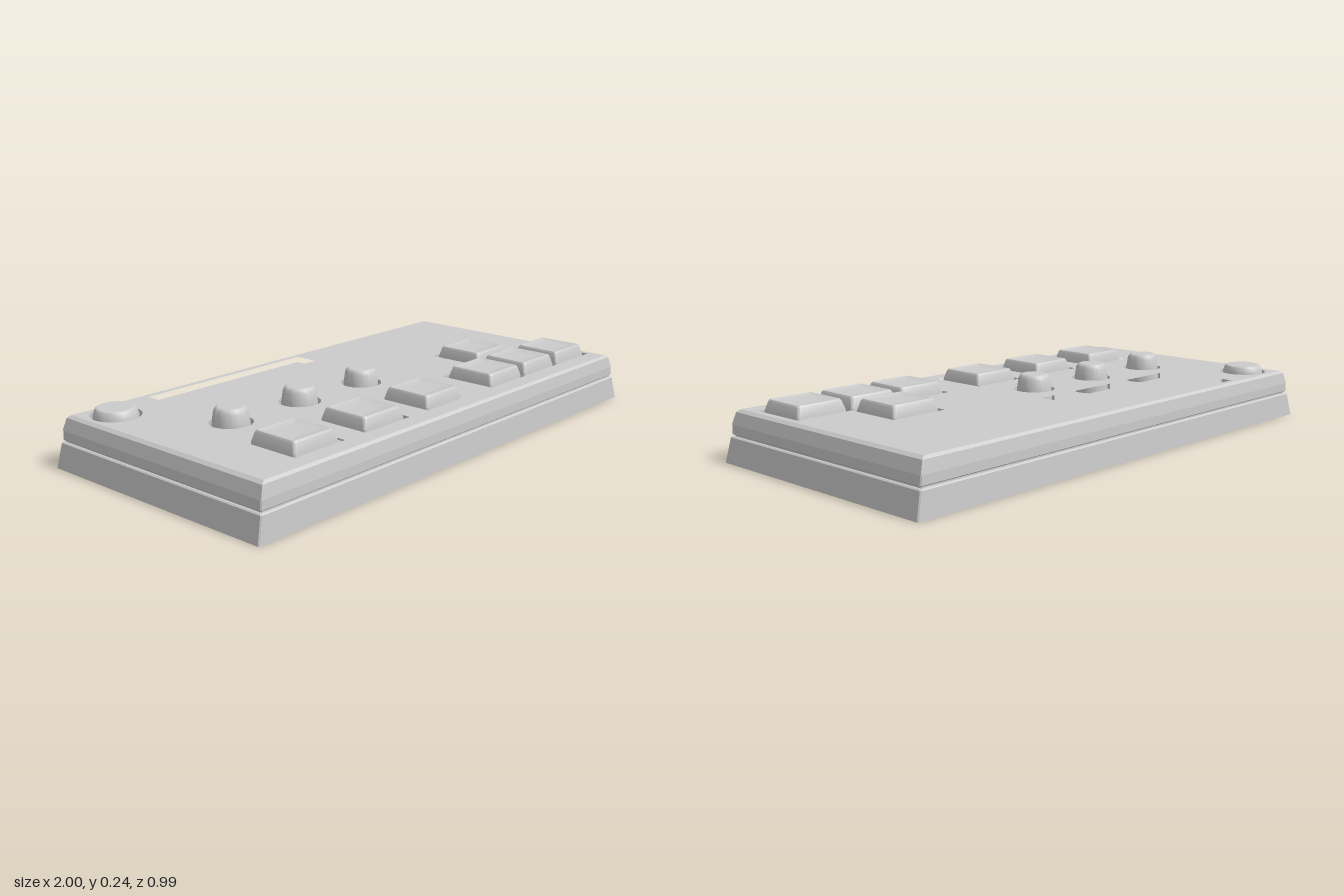
import * as THREE from 'three';
import { toCreasedNormals } from 'three/addons/utils/BufferGeometryUtils.js';

const grey = new THREE.MeshStandardMaterial({ color: 0xcccccc });

function add(group, geometry, name, x = 0, y = 0, z = 0) {
  const mesh = new THREE.Mesh(geometry, grey);
  mesh.name = name;
  mesh.position.set(x, y, z);
  group.add(mesh);
  return mesh;
}

// Closed solid from stacked rounded rectangles: [half width, half depth, y, corner radius]
function stack(sections, steps = 1) {
  const pos = [], idx = [], n = 4 * (steps + 1);
  for (const [w, d, y, r] of sections) {
    for (let q = 0; q < 4; q++) {
      const sx = q === 0 || q === 3 ? 1 : -1, sz = q < 2 ? 1 : -1;
      for (let i = 0; i <= steps; i++) {
        const a = (q + i / steps) * Math.PI / 2;
        pos.push(sx * (w - r) + r * Math.cos(a), y, sz * (d - r) + r * Math.sin(a));
      }
    }
  }
  for (let s = 0; s < sections.length - 1; s++) {
    for (let i = 0; i < n; i++) {
      const a = s * n + i, b = s * n + (i + 1) % n;
      idx.push(a, a + n, b, b, a + n, b + n);
    }
  }
  const last = sections.length - 1, bottom = pos.length / 3;
  pos.push(0, sections[0][2], 0, 0, sections[last][2], 0);
  for (let i = 0; i < n; i++) {
    const j = (i + 1) % n;
    idx.push(bottom, i, j, bottom + 1, last * n + j, last * n + i);
  }
  const g = new THREE.BufferGeometry();
  g.setAttribute('position', new THREE.Float32BufferAttribute(pos, 3));
  g.setIndex(idx);
  return toCreasedNormals(g, 0.4);
}

function lathe(points) {
  const g = new THREE.LatheGeometry(points.map(([r, y]) => new THREE.Vector2(r, y)), 40);
  return toCreasedNormals(g, 0.4);
}

// Outline on the top face; shape y is model -z
const outline = (points) => new THREE.Path(points.map(([x, z]) => new THREE.Vector2(x, -z)));
const rect = (x0, z0, x1, z1) => outline([[x0, z0], [x1, z0], [x1, z1], [x0, z1]]);

export function createModel() {
  const model = new THREE.Group();
  model.name = 'controlPad';
  const top = 0.181, columns = [-0.643, -0.322, 0], arrows = [0.373, 0.592, 0.811];
  const keyZ = 0.287, upZ = 0.069, knobZ = -0.006, half = 0.112;

  // Tapered case halves with a recessed seam
  add(model, stack([[1, 0.494, 0, 0.004], [0.98, 0.486, 0.086, 0.004], [0.975, 0.481, 0.09, 0.004]]), 'lowerCase');
  add(model, stack([[0.968, 0.474, 0.08, 0.002], [0.968, 0.474, 0.11, 0.002]]), 'seam');
  add(model, stack([[0.973, 0.479, 0.096, 0.004], [0.976, 0.482, 0.099, 0.004], [0.974, 0.481, 0.13, 0.004]]), 'upperCaseBottom');
  const rim = new THREE.Group();
  rim.name = 'upperCaseRim';
  model.add(rim);
  const edge = [[0.974, 0.481, 0.13], [0.96, 0.473, 0.172], [0.946, 0.464, top]];
  for (let k = 0; k < 2; k++) {
    const [w0, d0, y0] = edge[k], [w1, d1, y1] = edge[k + 1];
    const ring = [[1, 1], [-1, 1], [-1, -1], [1, -1]];
    const pos = [], idx = [];
    ring.forEach(([sx, sz], i) => {
      const [tx, tz] = ring[(i + 1) % 4];
      pos.push(sx * w0, y0, sz * d0, tx * w0, y0, tz * d0, tx * w1, y1, tz * d1, sx * w1, y1, sz * d1);
      const o = i * 4;
      idx.push(o, o + 2, o + 1, o, o + 3, o + 2);
    });
    const g = new THREE.BufferGeometry();
    g.setAttribute('position', new THREE.Float32BufferAttribute(pos, 3));
    g.setIndex(idx);
    g.computeVertexNormals();
    add(rim, g, k ? 'rimChamfer' : 'rimSide');
  }

  // Top plate with openings for screen, keys, knobs and power button
  const plate = new THREE.Shape(rect(-0.946, -0.464, 0.946, 0.464).getPoints());
  plate.holes.push(rect(-0.64, -0.44, 0.11, -0.145));
  for (const x of columns) {
    plate.holes.push(rect(x - half, keyZ - half, x + half, keyZ + half));
    plate.holes.push(new THREE.Path().absarc(x, -knobZ, 0.075, 0, Math.PI * 2));
  }
  plate.holes.push(new THREE.Path().absarc(-0.843, 0.358, 0.088, 0, Math.PI * 2));
  const l = arrows[0] - half, r = arrows[2] + half, m = arrows[1], zt = keyZ - half, zb = keyZ + half;
  plate.holes.push(outline([[l, zb], [r, zb], [r, zt], [m + half, zt],
    [m + half, upZ - half], [m - half, upZ - half], [m - half, zt], [l, zt]]));
  const plateGeometry = new THREE.ExtrudeGeometry(plate, { depth: top - 0.13, bevelEnabled: false, curveSegments: 40 });
  plateGeometry.rotateX(-Math.PI / 2);
  add(model, plateGeometry, 'topPlate', 0, 0.13, 0);
  add(model, new THREE.BoxGeometry(0.75, 0.03, 0.295), 'screen', -0.265, 0.145, -0.2925);

  // Square keys with softly dished tops
  const key = stack([[0.101, 0.101, 0.128, 0.01], [0.099, 0.099, 0.182, 0.01], [0.09, 0.09, 0.215, 0.012],
    [0.086, 0.086, 0.221, 0.012], [0.081, 0.081, 0.222, 0.01], [0.074, 0.074, 0.219, 0.008],
    [0.04, 0.04, 0.217, 0.006]], 4);
  columns.forEach((x, i) => add(model, key, 'functionKey' + (i + 1), x, 0, keyZ));
  arrows.forEach((x, i) => add(model, key, ['leftKey', 'downKey', 'rightKey'][i], x, 0, keyZ));
  add(model, key, 'upKey', m, 0, upZ);

  // Round knobs and power button
  const knob = lathe([[0, 0.128], [0.066, 0.128], [0.064, 0.182], [0.058, 0.222], [0.055, 0.229],
    [0.049, 0.236], [0.045, 0.238], [0, 0.238]]);
  columns.forEach((x, i) => add(model, knob, 'knob' + (i + 1), x, 0, knobZ));
  add(model, lathe([[0, 0.128], [0.079, 0.128], [0.077, 0.182], [0.071, 0.2], [0.067, 0.206],
    [0.062, 0.209], [0, 0.209]]), 'powerButton', -0.843, 0, -0.358);
  return model;
}
